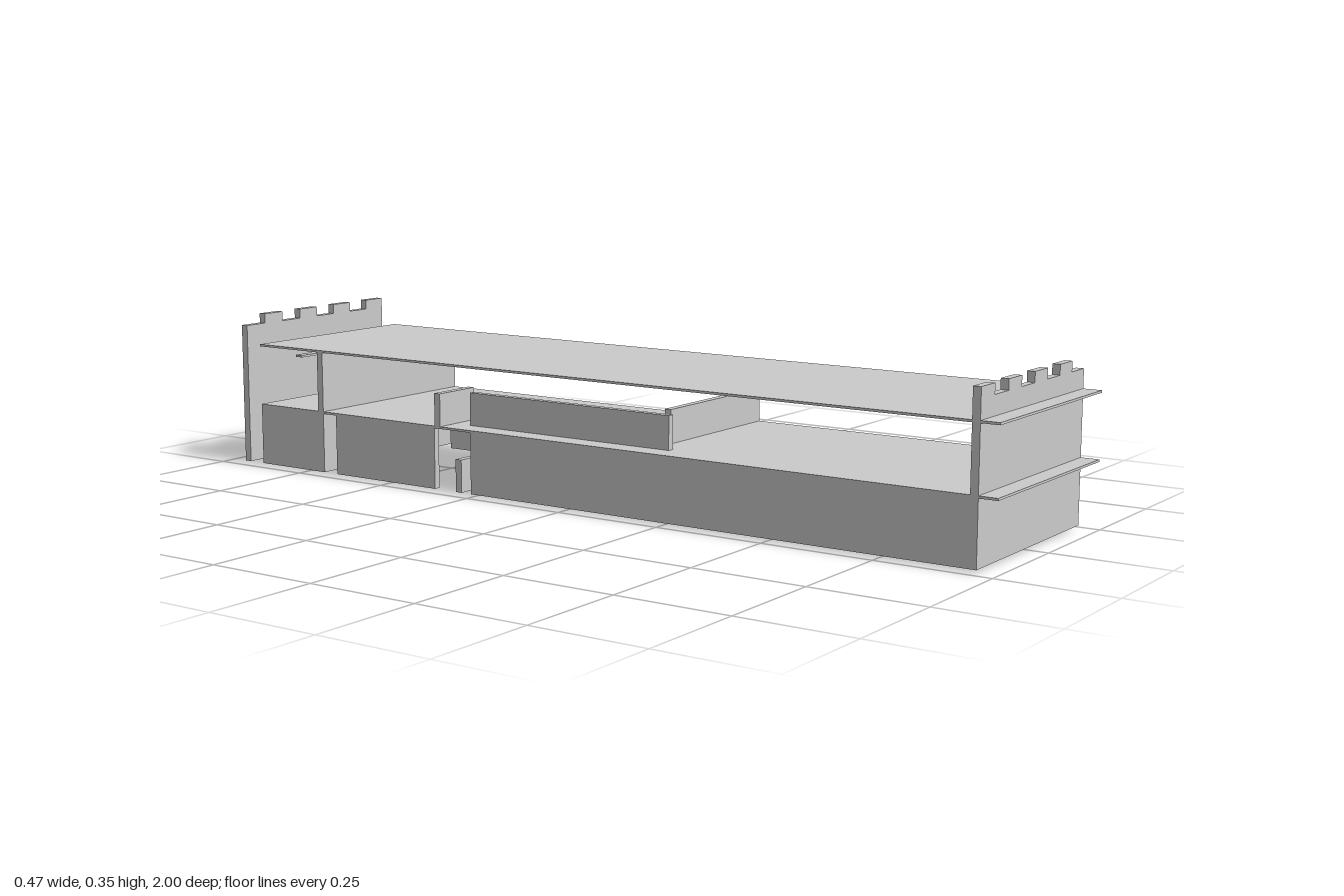
import * as THREE from 'three';

export function createModel() {
  const model = new THREE.Group();
  const material = new THREE.MeshStandardMaterial({ color: 0xcccccc, flatShading: true });
  const W = 0.235;          // half width
  const M = (2 * W) / 8;    // width of one battlement
  const T = 0.015;          // wall thickness
  const FLOOR = 0.007, DECK = 0.143, ROOF = 0.284;

  // Box given by its lower and upper limits on each axis
  function box(name, x0, x1, y0, y1, z0, z1) {
    const mesh = new THREE.Mesh(new THREE.BoxGeometry(x1 - x0, y1 - y0, z1 - z0), material);
    mesh.position.set((x0 + x1) / 2, (y0 + y1) / 2, (z0 + z1) / 2);
    mesh.name = name;
    model.add(mesh);
  }

  // End wall with a battlement outline; odd = 0 starts on a raised block at -x
  function battlementWall(name, odd, z0) {
    const shape = new THREE.Shape();
    shape.moveTo(-W, FLOOR);
    for (let i = 0; i < 8; i++) {
      const top = i % 2 === odd ? 0.352 : 0.33;
      shape.lineTo(-W + i * M, top);
      shape.lineTo(-W + (i + 1) * M, top);
    }
    shape.lineTo(W, FLOOR);
    const geometry = new THREE.ExtrudeGeometry(shape, { depth: 0.017, bevelEnabled: false });
    const mesh = new THREE.Mesh(geometry, material);
    mesh.position.z = z0;
    mesh.name = name;
    model.add(mesh);
  }

  battlementWall('frontBattlementWall', 0, 0.943);
  battlementWall('backBattlementWall', 1, -0.938);

  // Two long floors that pass through the front wall
  box('lowerDeck', -W, W, DECK, 0.148, -0.88, 1);
  box('roofDeck', -W, W, ROOF, 0.289, -0.88, 1);

  // Full-height cross wall near the back
  box('crossWall', -W, W, FLOOR, ROOF, -0.7, -0.684);

  // Lower side walls with gaps; the left one is set in by one module
  for (const [z0, z1] of [[0.3, 0.943], [-0.645, 0.18], [-0.88, -0.7]])
    box('leftSideWall', W - M - T / 2, W - M + T / 2, FLOOR, DECK, z0, z1);
  for (const [z0, z1] of [[-0.25, 0.943], [-0.645, -0.352], [-0.88, -0.7]])
    box('rightSideWall', -W, -W + T, FLOOR, DECK, z0, z1);

  // Half-height partitions, repeated on both levels one module apart
  for (const [y, shift] of [[FLOOR, M], [0.148, 0]]) {
    const top = y + 0.073;
    box('frontPartition', -W + 2 * M, W, y, top, 0.181 + shift, 0.197 + shift);
    box('longPartition', -W + M - T / 2, -W + M + T / 2, y, top, -0.292 + shift, 0.236 + shift);
    box('backPartition', -W, -W + 2 * M, y, top, -0.351 + shift, -0.335 + shift);
  }

  // Thin ground plates and a small plate under the roof
  box('frontGroundPlate', M, W, 0, 0.006, 0.71, 0.768);
  box('middleGroundPlate', M, W, 0, 0.006, 0.415, 0.474);
  box('backGroundPlate', -2 * M, -M, 0, 0.006, -1, -0.938);
  box('smallUpperPlate', -2 * M, -M, 0.246, 0.251, -0.88, -0.86);

  return model;
}
